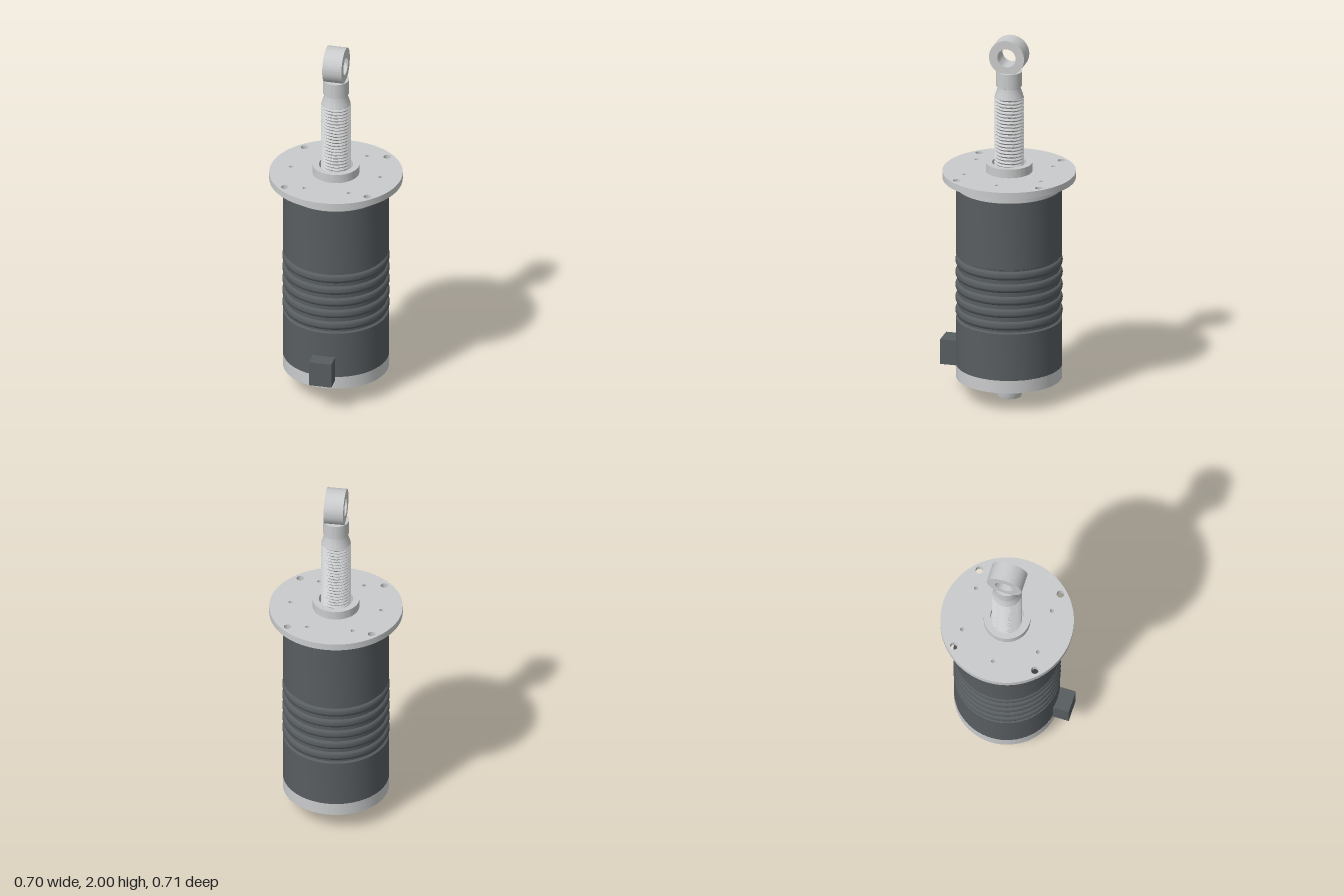
import * as THREE from 'three';
import { toCreasedNormals } from 'three/addons/utils/BufferGeometryUtils.js';

const material = (name, color) => {
  const m = new THREE.MeshStandardMaterial({ color });
  m.name = name;
  return m;
};

export function createModel() {
  const metal = material('light metal', 0xcacbcc);
  const dark = material('dark housing', 0x585d60);
  const model = new THREE.Group();
  const axis = new THREE.Group(); // everything turned around the main axis
  axis.name = 'cylinderAssembly';
  axis.position.z = -0.005;
  model.add(axis);

  const add = (name, geometry, mat, y = 0) => {
    const mesh = new THREE.Mesh(toCreasedNormals(geometry, 0.6), mat);
    mesh.name = name;
    mesh.position.y = y;
    axis.add(mesh);
    return mesh;
  };
  // Turned solid from [radius, y] pairs, listed bottom to top
  const turned = (name, profile, mat) =>
    add(name, new THREE.LatheGeometry(profile.map(([r, y]) => new THREE.Vector2(r, y)), 64), mat);

  // Round plate with holes given as [x, z, radius]
  const plate = (name, radius, y0, y1, holes, mat) => {
    const shape = new THREE.Shape().absarc(0, 0, radius, 0, Math.PI * 2);
    for (const [x, z, r] of holes)
      shape.holes.push(new THREE.Path().absarc(x, z, r, 0, Math.PI * 2, true));
    const g = new THREE.ExtrudeGeometry(shape, { depth: y1 - y0, bevelEnabled: false, curveSegments: 40 });
    return add(name, g.rotateX(-Math.PI / 2), mat, y0);
  };

  // Helical thread: a cylinder whose radius follows a triangle wave
  const thread = (name, y0, y1, radius, depth, pitch) => {
    const rows = Math.round(((y1 - y0) / pitch) * 6);
    const g = new THREE.CylinderGeometry(radius, radius, y1 - y0, 48, rows, true);
    const p = g.attributes.position, uv = g.attributes.uv;
    for (let i = 0; i < p.count; i++) {
      const t = p.getY(i) / pitch + uv.getX(i);
      const wave = Math.abs((t - Math.floor(t)) * 2 - 1);
      const k = (radius - depth * wave) / radius;
      p.setX(i, p.getX(i) * k);
      p.setZ(i, p.getZ(i) * k);
    }
    add(name, g, metal, (y0 + y1) / 2);
  };

  // Bolt pattern shared by both end plates
  const bolts = [];
  for (let i = 0; i < 6; i++) {
    const a = (i * Math.PI) / 3;
    bolts.push([0.242 * Math.cos(a), 0.242 * Math.sin(a), 0.011]);
  }
  const mounts = [];
  for (const sx of [-1, 1]) for (const sz of [-1, 1]) mounts.push([sx * 0.224, sz * 0.224, 0.02]);

  // Housing with five rounded ribs
  const body = [[0, 0.18], [0.28, 0.18], [0.28, 0.44], [0.268, 0.446]];
  for (let rib = 0; rib < 5; rib++) {
    const mid = 0.482 + rib * 0.07;
    for (let j = 0; j <= 10; j++) {
      const a = (j / 10) * Math.PI;
      body.push([0.268 + 0.015 * Math.sin(a), mid - 0.024 * Math.cos(a)]);
    }
  }
  body.push([0.268, 0.794], [0.28, 0.8], [0.28, 1.172], [0, 1.172]);
  turned('housing', body, dark);

  // End plates, flange and collar
  plate('bottomCap', 0.28, 0.11, 0.18, bolts, metal);
  plate('topCap', 0.277, 1.172, 1.222, bolts, metal);
  plate('mountingFlange', 0.352, 1.222, 1.259, [...bolts, ...mounts], metal);
  plate('collar', 0.123, 1.259, 1.307, [[0, 0, 0.09]], metal);

  // Threaded rod with its neck and head
  thread('rodThread', 1.259, 1.675, 0.08, 0.01, 0.0185);
  turned('rodHead', [
    [0, 1.668], [0.077, 1.672], [0.072, 1.69], [0.06, 1.725], [0.06, 1.733],
    [0.069, 1.737], [0.069, 1.817], [0, 1.817],
  ], metal);

  // Rod eye, bored from side to side
  const ring = new THREE.Shape().absarc(0, 0, 0.096, 0, Math.PI * 2);
  ring.holes.push(new THREE.Path().absarc(0, 0, 0.05, 0, Math.PI * 2, true));
  const eye = new THREE.ExtrudeGeometry(ring, { depth: 0.104, bevelEnabled: false, curveSegments: 48 });
  add('rodEye', eye.translate(0, 0, -0.052).rotateY(Math.PI / 2), metal, 1.904);

  // Lower stub
  thread('stubThread', 0.06, 0.11, 0.08, 0.01, 0.0185);
  turned('stub', [[0, 0], [0.064, 0], [0.068, 0.012], [0.074, 0.062], [0, 0.066]], metal);

  // Connector block on the front
  const block = new THREE.Mesh(new THREE.BoxGeometry(0.122, 0.138, 0.105), dark);
  block.name = 'connectorBlock';
  block.position.set(0, 0.231, 0.3025);
  model.add(block);

  return model;
}
